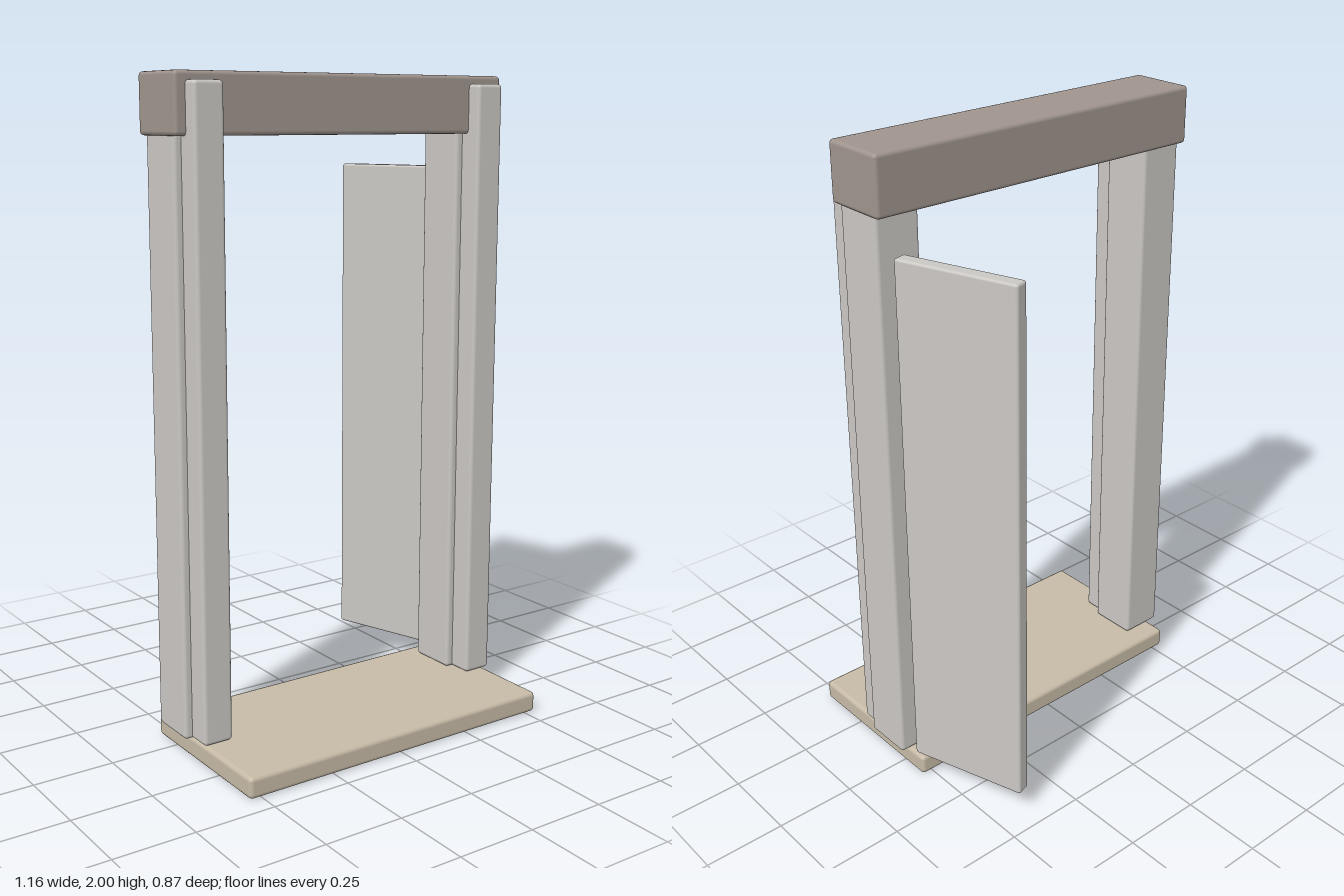
import * as THREE from 'three';
import { RoundedBoxGeometry } from 'three/addons/geometries/RoundedBoxGeometry.js';

export function createModel() {
  const model = new THREE.Group();
  model.name = 'doorway';

  const material = (name, color) => {
    const m = new THREE.MeshStandardMaterial({ color });
    m.name = name;
    return m;
  };
  const paleStone = material('paleStone', 0xcac7c3);
  const brownStone = material('brownStone', 0x9f948d);
  const sandStone = material('sandStone', 0xc6baa6);

  // Softly bevelled block given by its [min, max] extents
  const block = (name, mat, [x0, x1], [y0, y1], [z0, z1], bevel = 0.012) => {
    const geo = new RoundedBoxGeometry(x1 - x0, y1 - y0, z1 - z0, 2, bevel);
    const mesh = new THREE.Mesh(geo, mat);
    mesh.name = name;
    mesh.position.set((x0 + x1) / 2, (y0 + y1) / 2, (z0 + z1) / 2);
    model.add(mesh);
    return mesh;
  };

  // Threshold slab and lintel
  block('threshold', sandStone, [-0.539, 0.537], [0, 0.066], [-0.1, 0.435], 0.014);
  block('lintel', brownStone, [-0.58, 0.577], [1.825, 2], [-0.06, 0.15]);

  // Jambs with a narrower pilaster on the front of each
  for (const [side, s] of [['left', 1], ['right', -1]]) {
    const span = (a, b) => (s > 0 ? [a, b] : [-b, -a]);
    block(side + 'Jamb', paleStone, span(0.426, 0.57), [0.07, 1.84], [-0.038, 0.122]);
    block(side + 'Pilaster', paleStone, span(0.45, 0.546), [0.07, 1.975], [0.1, 0.196]);
  }

  // Door leaf swung open behind the left jamb
  const door = block('door', paleStone, [0.4395, 0.4865], [0.08, 1.72], [-0.438, -0.054], 0.008);
  door.rotation.y = 0.314;
  door.position.set(0.4625, 0.9, -0.25);

  return model;
}
